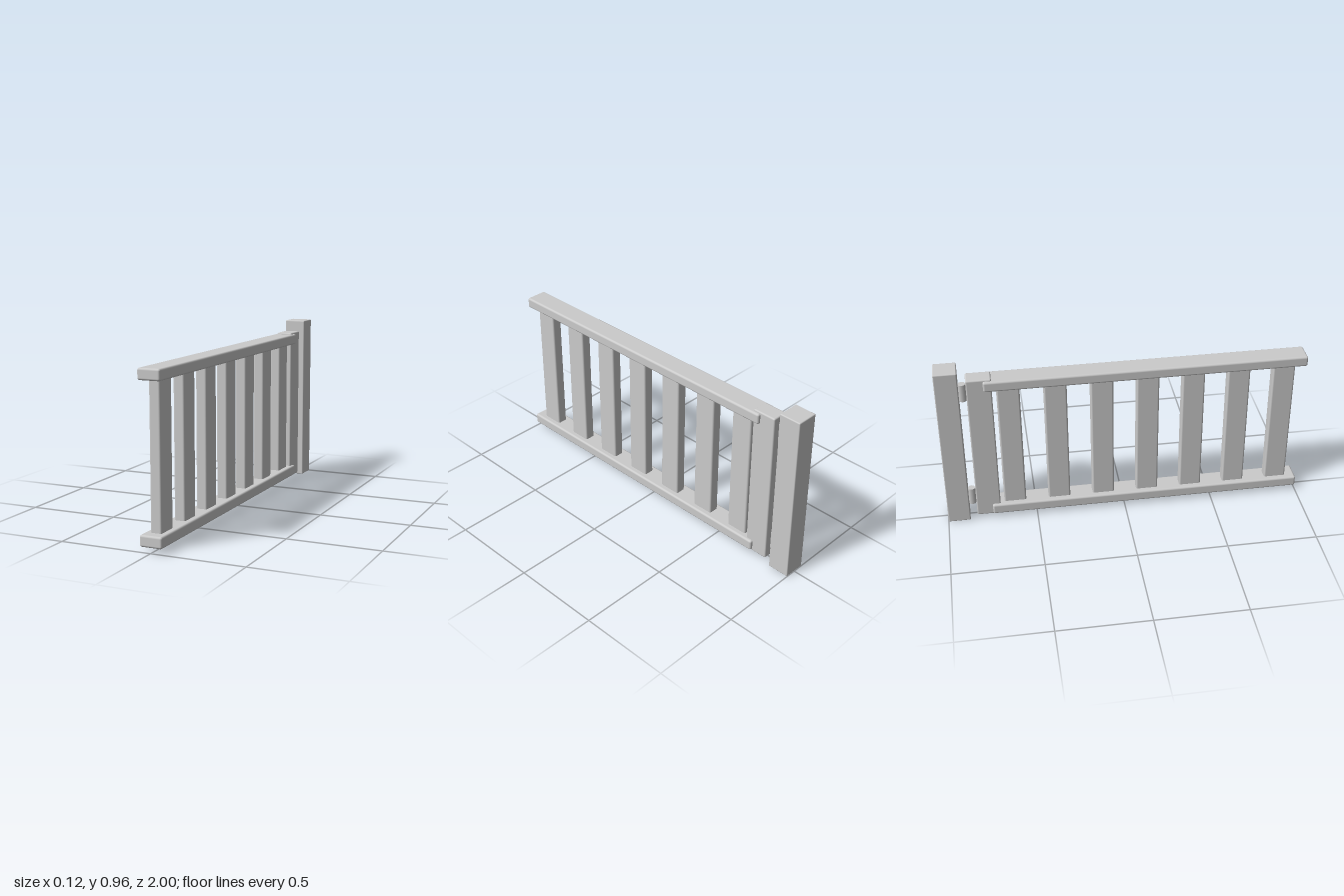
import * as THREE from 'three';
import { RoundedBoxGeometry } from 'three/addons/geometries/RoundedBoxGeometry.js';

const material = new THREE.MeshStandardMaterial({ color: 0xcccccc });

// Softly bevelled beam, centred on x, spanning the given y and z ranges
function beam(name, width, [y0, y1], [z0, z1], radius) {
  const geometry = new RoundedBoxGeometry(width, y1 - y0, z1 - z0, 3, radius);
  const mesh = new THREE.Mesh(geometry, material);
  mesh.name = name;
  mesh.position.set(0, (y0 + y1) / 2, (z0 + z1) / 2);
  return mesh;
}

export function createModel() {
  const gate = new THREE.Group();
  gate.name = 'gate';

  // Fixed post and the stile that hangs from it
  gate.add(beam('post', 0.122, [0, 0.963], [-1, -0.877], 0.006));
  gate.add(beam('hingeStile', 0.09, [0.018, 0.903], [-0.837, -0.703], 0.008));

  // Horizontal rails
  gate.add(beam('topRail', 0.122, [0.835, 0.894], [-0.748, 1], 0.011));
  gate.add(beam('bottomRail', 0.122, [0.026, 0.086], [-0.748, 1], 0.011));

  // Seven evenly spaced balusters
  for (let i = 0; i < 7; i++) {
    const z = 0.881 - i * 0.25;
    gate.add(beam('baluster', 0.06, [0.06, 0.86], [z - 0.0615, z + 0.0615], 0.01));
  }

  // Hinge pins between the stile and the post
  const pin = new THREE.CylinderGeometry(0.021, 0.021, 0.102, 8);
  for (const y of [0.13, 0.813]) {
    const hinge = new THREE.Mesh(pin, material);
    hinge.name = 'hingePin';
    hinge.position.set(0, y, -0.858);
    gate.add(hinge);
  }

  return gate;
}
